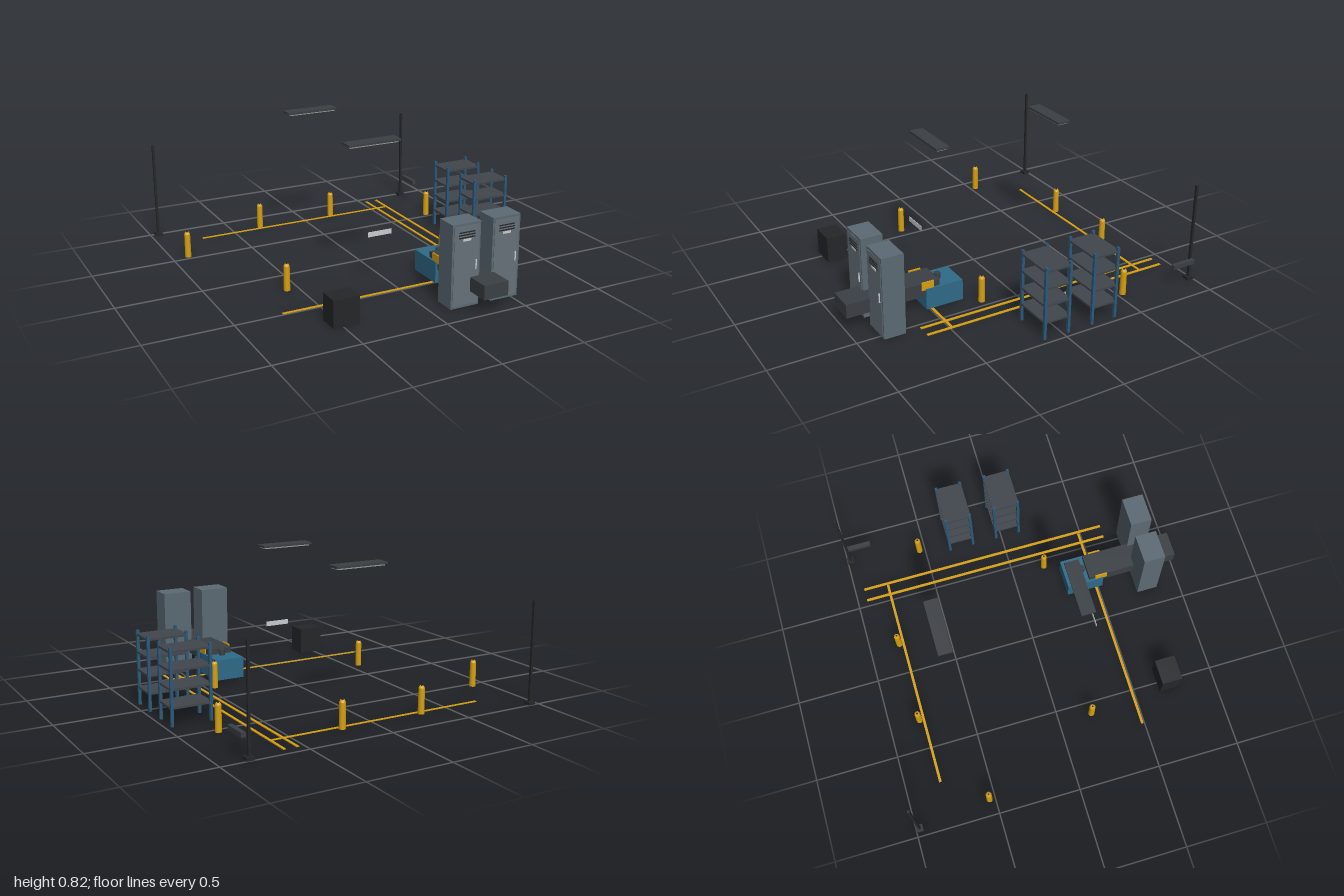
import * as THREE from 'three';

const mat = (color, extra = {}) => new THREE.MeshStandardMaterial({ color, ...extra });
const M = {
  yellow: mat(0xd6a010), dark: mat(0x3b4045), black: mat(0x242628), blue: mat(0x2f6a88),
  locker: mat(0x5c6a74), door: mat(0x66717a), post: mat(0x2d5878), shelf: mat(0x41474e),
  light: mat(0xc8cdd0), lens: mat(0x9a9a94),
};

// Box given by its minimum and maximum corners
function box(parent, name, material, [x0, y0, z0], [x1, y1, z1]) {
  const mesh = new THREE.Mesh(new THREE.BoxGeometry(x1 - x0, y1 - y0, z1 - z0), material);
  mesh.position.set((x0 + x1) / 2, (y0 + y1) / 2, (z0 + z1) / 2);
  mesh.name = name;
  parent.add(mesh);
  return mesh;
}

function cylinder(parent, name, material, rTop, rBottom, y0, y1, x = 0, z = 0) {
  const mesh = new THREE.Mesh(new THREE.CylinderGeometry(rTop, rBottom, y1 - y0, 16), material);
  mesh.position.set(x, (y0 + y1) / 2, z);
  mesh.name = name;
  parent.add(mesh);
  return mesh;
}

function group(parent, name, x = 0, z = 0) {
  const g = new THREE.Group();
  g.name = name;
  g.position.set(x, 0, z);
  parent.add(g);
  return g;
}

// Safety bollard with a chamfered head and a small cap
function bollard(parent, x, z) {
  const g = group(parent, 'bollard', x, z);
  cylinder(g, 'bollardBody', M.yellow, 0.018, 0.019, 0, 0.148);
  cylinder(g, 'bollardHead', M.yellow, 0.012, 0.018, 0.148, 0.16);
  cylinder(g, 'bollardCap', M.black, 0.005, 0.005, 0.16, 0.164);
}

// Shelving rack: four uprights and four shelves
function rack(parent, x, z) {
  const g = group(parent, 'storageRack', x, z);
  for (const sx of [-1, 1]) for (const sz of [-1, 1]) {
    const px = sx * 0.114, pz = sz * 0.076;
    box(g, 'rackPost', M.post, [px - 0.008, 0, pz - 0.008], [px + 0.008, 0.432, pz + 0.008]);
  }
  for (const y of [0.102, 0.204, 0.306, 0.408])
    box(g, 'rackShelf', M.shelf, [-0.121, y - 0.006, -0.083], [0.121, y + 0.006, 0.083]);
}

// Locker with door, vent slots, label and handle
function locker(parent, x) {
  const g = group(parent, 'locker', x, 0.793);
  box(g, 'lockerBody', M.locker, [-0.089, 0, -0.065], [0.089, 0.485, 0.065]);
  box(g, 'lockerDoor', M.door, [-0.078, 0.015, 0.06], [0.078, 0.47, 0.068]);
  for (const y of [0.436, 0.421, 0.406])
    box(g, 'ventSlot', M.black, [-0.05, y - 0.003, 0.06], [0.05, y + 0.003, 0.071]);
  box(g, 'nameLabel', M.light, [-0.025, 0.385, 0.06], [0.025, 0.398, 0.071]);
  box(g, 'lockerHandle', M.light, [0.057, 0.215, 0.06], [0.064, 0.27, 0.075]);
}

// Slim hanging light with a pale lens underneath
function ceilingLight(parent, z) {
  const g = group(parent, 'ceilingLight', -0.058, z);
  box(g, 'lightHousing', M.dark, [-0.164, 0.811, -0.042], [0.164, 0.824, 0.042]);
  box(g, 'lightLens', M.lens, [-0.152, 0.803, -0.033], [0.152, 0.811, 0.033]);
}

// Thin pole on a square foot
function pole(parent, x) {
  const g = group(parent, 'pole', x, -0.978);
  box(g, 'poleFoot', M.black, [-0.022, 0, -0.022], [0.022, 0.018, 0.022]);
  box(g, 'poleShaft', M.black, [-0.007, 0.018, -0.007], [0.007, 0.6, 0.007]);
}

export function createModel() {
  const root = new THREE.Group();
  root.name = 'workshopProps';

  // Painted floor lines
  for (const z of [-0.79, 0.487])
    box(root, 'floorLineAcross', M.yellow, [-0.72, 0, z - 0.008], [0.605, 0.004, z + 0.008]);
  for (const x of [0.54, 0.616])
    box(root, 'floorLineAlong', M.yellow, [x - 0.008, 0, -0.943], [x + 0.008, 0.005, 0.64]);

  for (const [x, z] of [[-0.902, -0.535], [-0.315, -0.815], [0.197, -0.815],
    [0.783, -0.535], [-0.57, 0.206], [0.45, 0.206]]) bollard(root, x, z);

  for (const z of [-0.265, -0.04 + 0.082]) rack(root, 0.847, z);
  for (const x of [0.196, 0.452]) locker(root, x);
  for (const z of [-0.56, 0.257]) ceilingLight(root, z);
  for (const x of [-0.953, 0.833]) pole(root, x);

  // Barrier arm beside the left pole
  box(root, 'barrierArm', M.dark, [0.848, 0.116, -0.978], [0.874, 0.142, -0.828]);

  // Machine: blue base, long dark beam, yellow side plates and a knob
  const machine = group(root, 'machine', 0.303);
  box(machine, 'machineBase', M.blue, [-0.091, 0.01, 0.296], [0.091, 0.136, 0.526]);
  box(machine, 'machineBeam', M.dark, [-0.077, 0.088, 0.436], [0.077, 0.171, 1]);
  for (const s of [-1, 1])
    box(machine, 'sidePlate', M.yellow, [s * 0.08 - 0.004, 0.13, 0.475], [s * 0.08 + 0.004, 0.179, 0.55]);
  cylinder(machine, 'machineKnob', M.dark, 0.019, 0.019, 0.136, 0.17, 0, 0.41);

  // Storage bin and hanging sign
  box(root, 'storageBin', M.black, [-0.558, 0, 0.655], [-0.405, 0.16, 0.78]);
  box(root, 'hangingSign', M.light, [-0.135, 0.293, 0.357], [0.016, 0.322, 0.361]);

  return root;
}
